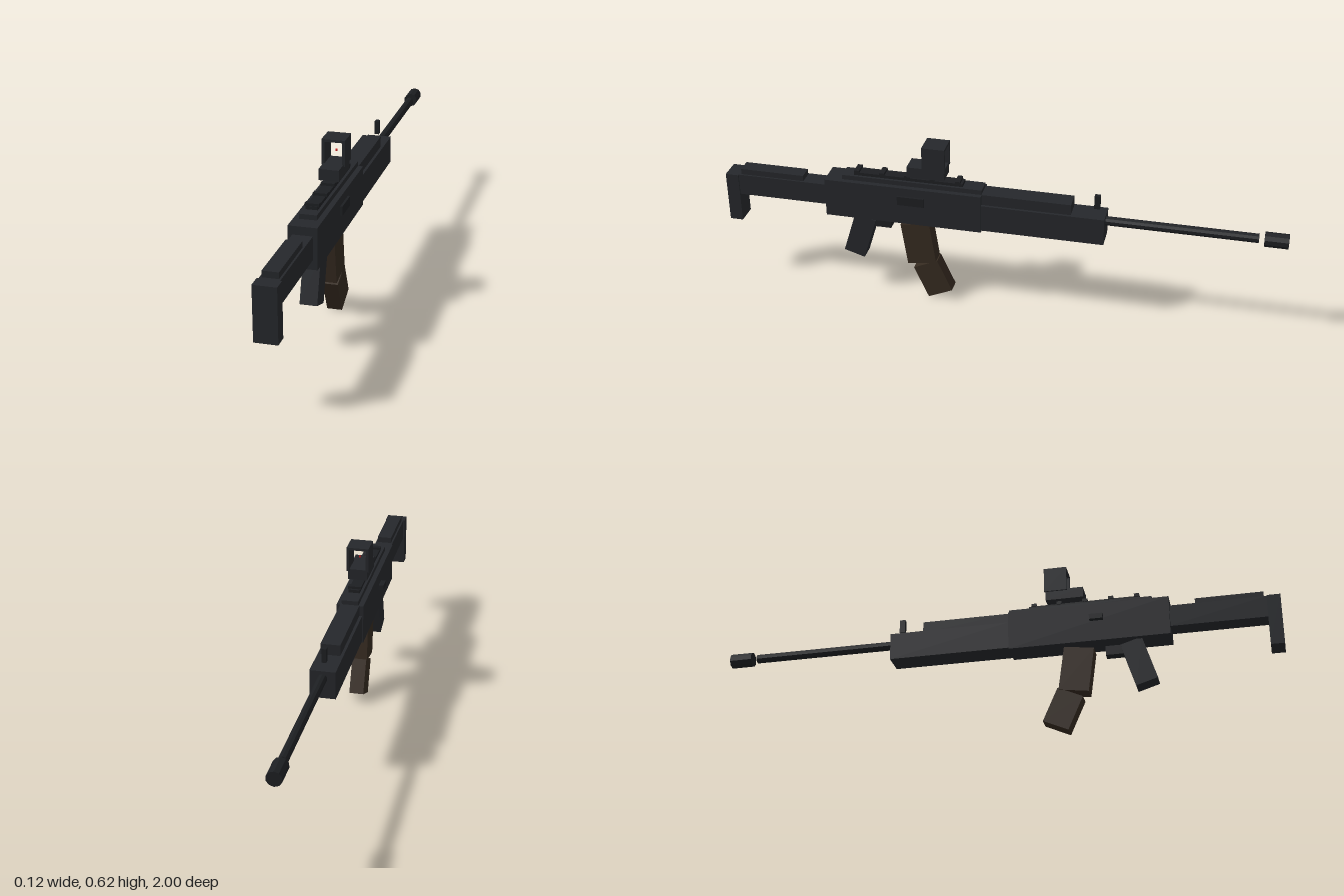
import * as THREE from 'three';

const paint = (color) => new THREE.MeshStandardMaterial({ color, flatShading: true });

export function createModel() {
  const model = new THREE.Group();
  model.name = 'rifle';
  const body = paint(0x25272b), dark = paint(0x1d1f22), brown = paint(0x352a20), red = paint(0xcc2222);
  const CX = 0.004; // centre plane of the main parts

  // Box given by its extents in x, y and z
  const block = (name, [x0, x1], [y0, y1], [z0, z1], mat = body) => {
    const m = new THREE.Mesh(new THREE.BoxGeometry(x1 - x0, y1 - y0, z1 - z0), mat);
    m.position.set((x0 + x1) / 2, (y0 + y1) / 2, (z0 + z1) / 2);
    m.name = name;
    model.add(m);
    return m;
  };
  const mid = (w) => [CX - w / 2, CX + w / 2];

  // Box tilted in the side plane
  const tilted = (name, w, h, d, y, z, angle, mat) => {
    const m = block(name, mid(w), [y - h / 2, y + h / 2], [z - d / 2, z + d / 2], mat);
    m.rotation.x = angle;
  };

  // Cylinder along z
  const rod = (name, r, z0, z1, sides) => {
    const m = new THREE.Mesh(new THREE.CylinderGeometry(r, r, z1 - z0, sides), dark);
    m.rotation.x = Math.PI / 2;
    m.position.set(CX, 0.394, (z0 + z1) / 2);
    m.name = name;
    model.add(m);
  };

  // Receiver, cover and rail
  block('receiver', mid(0.096), [0.315, 0.457], [0.055, 0.622]);
  block('topCover', mid(0.059), [0.455, 0.474], [0.055, 0.562]);
  block('rail', mid(0.04), [0.473, 0.485], [0.125, 0.52], dark);
  for (let i = 0; i < 5; i++) {
    const z = 0.143 + i * 0.0915;
    block('railTooth', mid(0.047), [0.483, 0.494], [z - 0.009, z + 0.009], dark);
  }
  block('ejectionPort', [0.048, 0.06], [0.393, 0.426], [0.258, 0.355], dark);
  block('chargingHandle', [-0.062, -0.04], [0.391, 0.41], [0.345, 0.392], dark);

  // Handguard, barrel and front sight
  block('handguard', mid(0.088), [0.321, 0.42], [-0.378, 0.055]);
  block('upperHandguard', mid(0.068), [0.418, 0.459], [-0.26, 0.055]);
  rod('barrel', 0.016, -0.9, -0.37, 10);
  rod('muzzle', 0.026, -1, -0.918, 10);
  block('frontSight', mid(0.016), [0.44, 0.49], [-0.356, -0.336], dark);

  // Stock
  block('stock', mid(0.066), [0.349, 0.428], [0.615, 0.957]);
  block('cheekRest', mid(0.053), [0.426, 0.449], [0.71, 0.944]);
  block('buttPlate', mid(0.077), [0.243, 0.428], [0.953, 1]);

  // Grip, trigger guard and curved magazine
  tilted('grip', 0.059, 0.165, 0.078, 0.231, 0.508, -0.3, body);
  block('triggerGuard', mid(0.034), [0.27, 0.304], [0.393, 0.49], dark);
  tilted('magazineUpper', 0.056, 0.162, 0.106, 0.224, 0.29, 0.14, brown);
  tilted('magazineLower', 0.053, 0.13, 0.096, 0.08, 0.24, 0.42, brown);

  // Optic: base, open hood and aiming dot
  block('opticBase', mid(0.069), [0.497, 0.536], [0.188, 0.322]);
  for (const s of [-1, 1]) {
    const x = CX + s * 0.035;
    block('opticHoodSide', [x - 0.005, x + 0.005], [0.53, 0.62], [0.184, 0.265]);
  }
  block('opticHoodTop', mid(0.06), [0.611, 0.62], [0.184, 0.265]);
  block('aimingDot', mid(0.006), [0.569, 0.575], [0.222, 0.228], red);

  return model;
}
